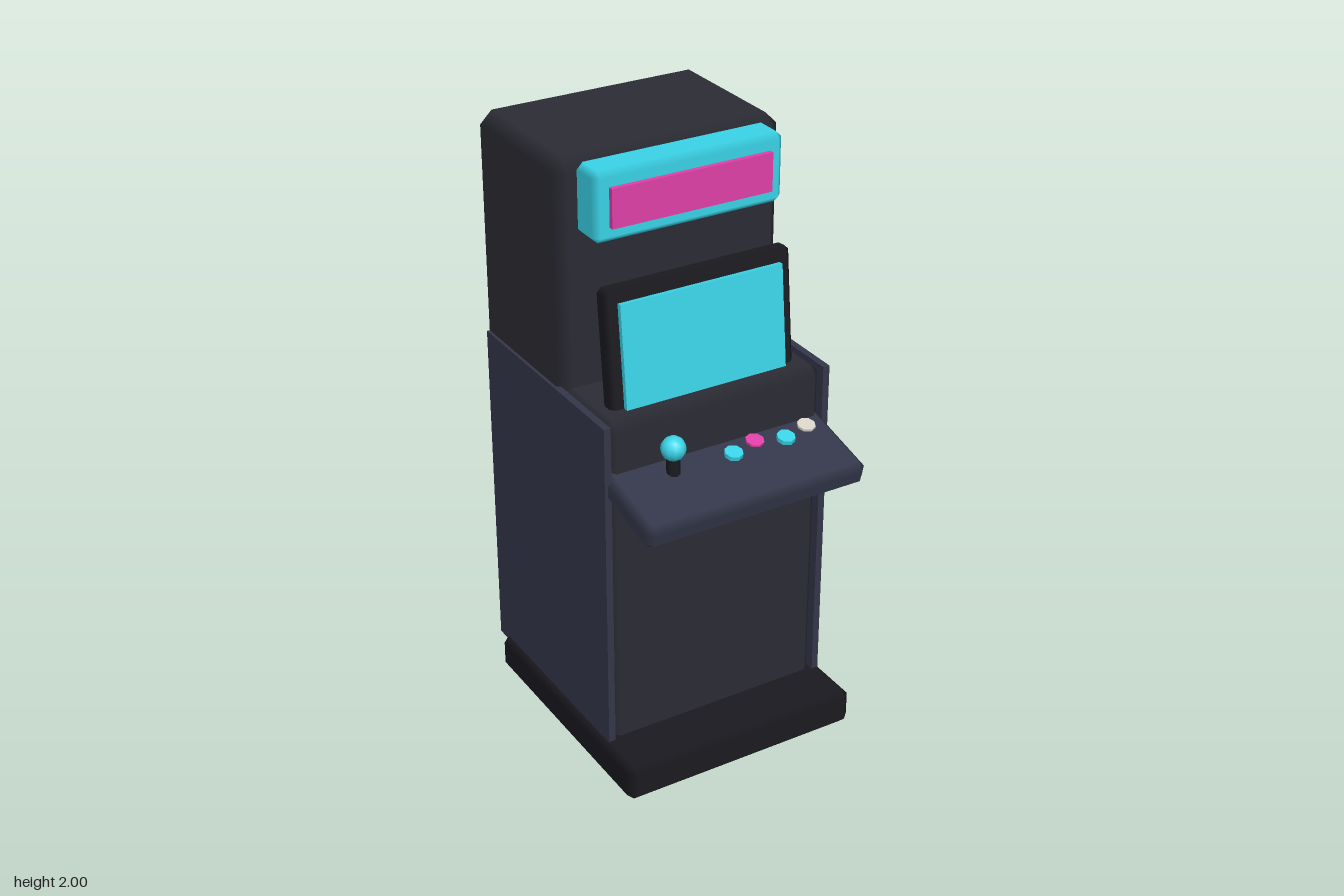
import * as THREE from 'three';
import { ConvexGeometry } from 'three/addons/geometries/ConvexGeometry.js';

const mat = (color) => new THREE.MeshStandardMaterial({ color });
const body = mat(0x2b2c34), panel = mat(0x34374a), black = mat(0x1a1a20);
const cyan = mat(0x3ad4e8), pink = mat(0xe040a8), cream = mat(0xd8d4c8);

// Box with every edge cut by one chamfer; flat faces keep flat normals, chamfers blend
function chamferBox(w, h, d, c) {
  const half = [w / 2, h / 2, d / 2];
  const points = [];
  for (let axis = 0; axis < 3; axis++)
    for (const sx of [-1, 1]) for (const sy of [-1, 1]) for (const sz of [-1, 1]) {
      const p = [sx, sy, sz].map((s, i) => s * (half[i] - (i === axis ? 0 : c)));
      points.push(new THREE.Vector3(...p));
    }
  const geo = new ConvexGeometry(points);
  const pos = geo.attributes.position, normal = geo.attributes.normal;
  for (let i = 0; i < pos.count; i++) {
    const p = [pos.getX(i), pos.getY(i), pos.getZ(i)];
    const n = p.map((v, k) => (Math.abs(Math.abs(v) - half[k]) < 1e-5 ? Math.sign(v) : 0));
    normal.setXYZ(i, ...n);
  }
  return geo;
}

function add(parent, name, geometry, material, x = 0, y = 0, z = 0) {
  const mesh = new THREE.Mesh(geometry, material);
  mesh.name = name;
  mesh.position.set(x, y, z);
  parent.add(mesh);
  return mesh;
}

export function createModel() {
  const model = new THREE.Group();
  model.name = 'arcadeCabinet';

  // Cabinet
  add(model, 'base', chamferBox(0.84, 0.13, 0.89, 0.025), black, 0, 0.065, 0.005);
  add(model, 'lowerBody', chamferBox(0.765, 1.165, 0.735, 0.03), body, 0, 0.6825, -0.0975);
  add(model, 'upperBody', chamferBox(0.78, 0.93, 0.525, 0.04), body, 0, 1.535, -0.2575);
  for (const side of [-1, 1])
    add(model, side > 0 ? 'leftSidePanel' : 'rightSidePanel',
      new THREE.BoxGeometry(0.023, 1.155, 0.76), panel, side * 0.3885, 0.6875, -0.1);

  // Lit sign
  add(model, 'marquee', chamferBox(0.65, 0.225, 0.12, 0.02), cyan, 0, 1.878, 0.05);
  add(model, 'marqueeSign', new THREE.BoxGeometry(0.55, 0.125, 0.03), pink, 0, 1.878, 0.111);

  // Screen leaning back in its bezel
  const display = new THREE.Group();
  display.name = 'display';
  display.position.set(0, 1.39, 0.153);
  display.rotation.x = -0.1;
  add(display, 'bezel', chamferBox(0.65, 0.5, 0.06, 0.015), black);
  add(display, 'screen', new THREE.BoxGeometry(0.565, 0.41, 0.03), cyan, 0, 0, 0.032);
  model.add(display);

  // Sloping control deck
  const tilt = 0.23;
  add(model, 'controlDeck', chamferBox(0.78, 0.085, 0.36, 0.025), panel, 0, 1.036, 0.34)
    .rotation.x = tilt;

  // Joystick
  add(model, 'joystickShaft', new THREE.CylinderGeometry(0.022, 0.022, 0.08, 8), black, -0.19, 1.11, 0.325);
  add(model, 'joystickBall', new THREE.SphereGeometry(0.04, 10, 8), cyan, -0.19, 1.165, 0.325);

  // Buttons in a zigzag row
  [cyan, pink, cyan, cream].forEach((material, i) => {
    add(model, 'button' + (i + 1), new THREE.CylinderGeometry(0.03, 0.03, 0.02, 8),
      material, 0.02 + i * 0.095, 1.087, i % 2 ? 0.3 : 0.33).rotation.x = tilt;
  });

  return model;
}
